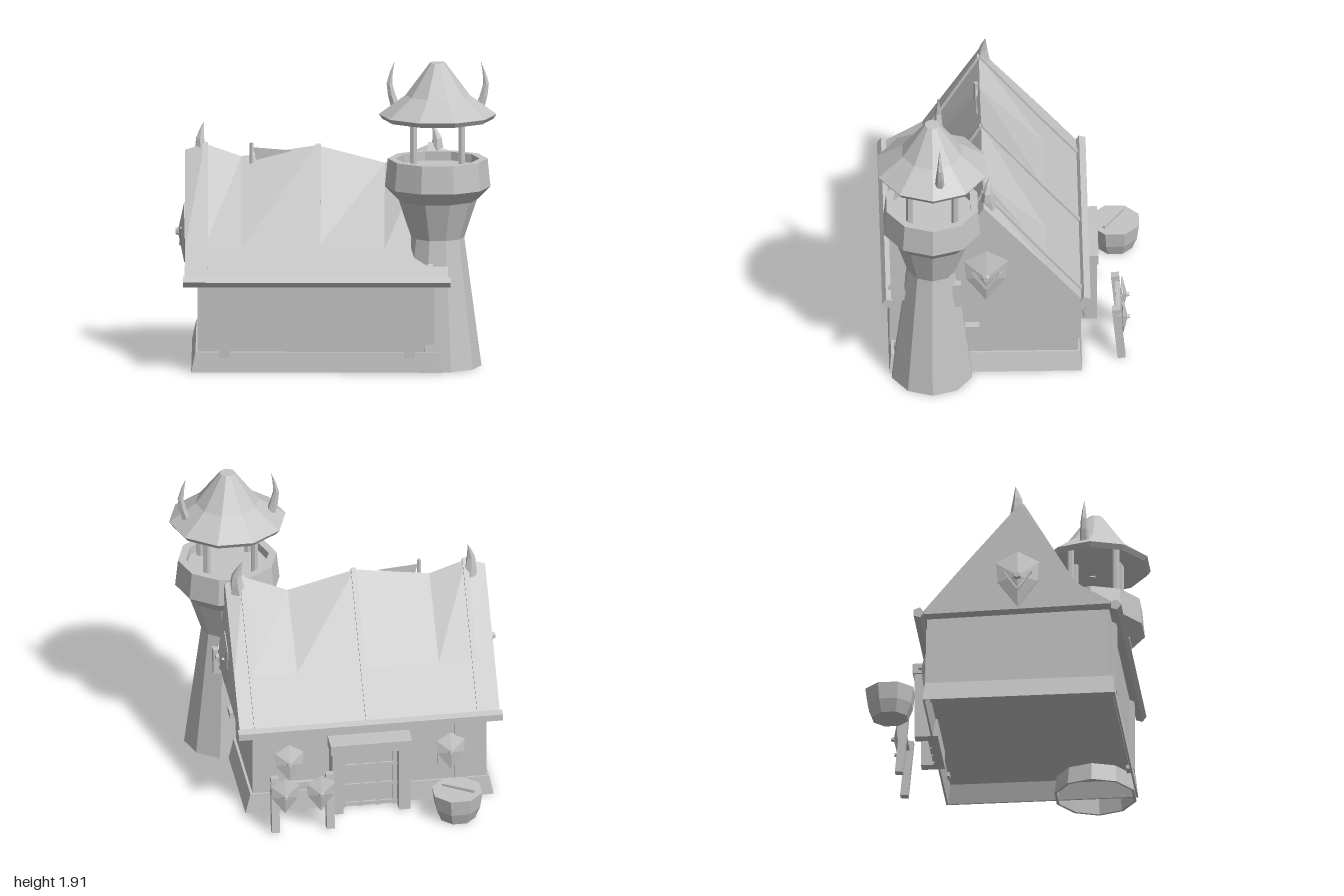
import * as THREE from 'three';

const stone = new THREE.MeshStandardMaterial({ color: 0xc4c4c4, flatShading: true });
stone.name = 'plain grey';
const V = (x, y, z) => new THREE.Vector3(x, y, z);

function part(parent, name, geometry, x = 0, y = 0, z = 0) {
  const m = new THREE.Mesh(geometry, stone);
  m.name = name;
  m.position.set(x, y, z);
  parent.add(m);
  return m;
}

// box given by its limits
function block(parent, name, x0, x1, y0, y1, z0, z1) {
  return part(parent, name, new THREE.BoxGeometry(x1 - x0, y1 - y0, z1 - z0),
    (x0 + x1) / 2, (y0 + y1) / 2, (z0 + z1) / 2);
}

// square bar between two points
function bar(parent, name, a, b, w, h = w) {
  const m = part(parent, name, new THREE.BoxGeometry(w, h, a.distanceTo(b)));
  m.position.copy(a).add(b).multiplyScalar(0.5);
  m.quaternion.setFromRotationMatrix(new THREE.Matrix4().lookAt(b, a, V(0, 1, 0)));
  return m;
}

function lathe(parent, name, profile, sides, start, x, y, z) {
  const pts = profile.map(p => new THREE.Vector2(p[0], p[1]));
  return part(parent, name, new THREE.LatheGeometry(pts, sides, start, Math.PI * 2), x, y, z);
}

function triangles(list) {
  const g = new THREE.BufferGeometry().setFromPoints(list);
  g.computeVertexNormals();
  return g;
}

// tapered curved horn through three points
function horn(parent, name, a, b, c, r) {
  const curve = new THREE.CatmullRomCurve3([a, b, c]);
  const g = new THREE.CylinderGeometry(r, r, 1, 6, 4);
  const p = g.attributes.position;
  for (let i = 0; i < p.count; i++) {
    const t = Math.min(1, Math.max(0, p.getY(i) + 0.5));
    const q = curve.getPoint(t), k = 1.02 - Math.pow(t, 1.4);
    p.setXYZ(i, q.x + p.getX(i) * k, q.y, q.z + p.getZ(i) * k);
  }
  return part(parent, name, g);
}

// kite-shaped faceted shield facing +z, with a rim and a boss
const kite = [[0, 0.182], [-0.135, 0.105], [-0.125, -0.025], [0, -0.195], [0.125, -0.025], [0.135, 0.105]];
function shield(parent, name, size, depth, boss) {
  const s = new THREE.Group();
  s.name = name;
  const rim = depth * 0.12, tris = [];
  const at = (i, z) => V(kite[i % 6][0] * size, kite[i % 6][1] * size, z);
  for (let i = 0; i < 6; i++) {
    const a = at(i, 0), b = at(i + 1, 0), c = at(i, rim), d = at(i + 1, rim);
    tris.push(a, b, c, b, d, c, c, d, V(0, 0, depth), b, a, V(0, 0, 0));
  }
  part(s, 'shieldFace', triangles(tris));
  const b = new THREE.CylinderGeometry(boss * 0.7, boss, 0.03, 6);
  b.rotateX(Math.PI / 2);
  part(s, 'shieldBoss', b, 0, 0, depth);
  parent.add(s);
  return s;
}

// ridge height along x, sagging between the ribs
const ridge = [[-0.94, 1.30], [-0.82, 1.34], [-0.59, 1.26], [-0.12, 1.33], [0.3, 1.22], [0.58, 1.34], [0.695, 1.30]];
const section = (x, y) => [V(x, 0.565, -0.452), V(x, 0.845, -0.22), V(x, y, 0.17), V(x, 0.74, 0.52), V(x, 0.59, 0.76)];

// rectangle corners, counterclockwise seen from above
const rect = (x0, x1, z0, z1, y) => [V(x0, y, z1), V(x1, y, z1), V(x1, y, z0), V(x0, y, z0)];

function house(root) {
  const g = new THREE.Group();
  g.name = 'house';
  root.add(g);

  block(g, 'walls', -0.86, 0.612, 0.115, 0.585, -0.418, 0.718);

  // flared hollow plinth: ledge, outer face, rim and inner face
  const rings = [rect(-0.85, 0.6, -0.41, 0.71, 0.125), rect(-0.873, 0.627, -0.43, 0.743, 0.125),
    rect(-0.9, 0.66, -0.443, 0.755, 0), rect(-0.888, 0.648, -0.431, 0.743, 0), rect(-0.855, 0.608, -0.412, 0.728, 0.12)];
  const f = [];
  for (let k = 0; k < 4; k++) for (let i = 0; i < 4; i++) {
    const a = rings[k + 1][i], b = rings[k + 1][(i + 1) % 4], c = rings[k][i], d = rings[k][(i + 1) % 4];
    f.push(a, b, c, b, d, c);
  }
  part(g, 'plinth', triangles(f));

  // wall posts on front and back
  for (const x of [-0.692, 0.457]) {
    block(g, 'frontPost', x - 0.034, x + 0.034, 0.09, 0.56, 0.7, 0.75);
    block(g, 'backPost', x - 0.034, x + 0.034, 0.09, 0.56, -0.437, -0.4);
  }

  // closed roof with gables
  const cols = ridge.map(r => section(r[0], r[1]));
  const t = [];
  for (let i = 0; i < cols.length - 1; i++) for (let j = 0; j < 5; j++) {
    const a = cols[i][j], b = cols[i][(j + 1) % 5], c = cols[i + 1][j], d = cols[i + 1][(j + 1) % 5];
    t.push(a, b, c, b, d, c);
  }
  const L = cols[0], R = cols[cols.length - 1];
  for (let j = 1; j < 4; j++) t.push(R[0], R[j], R[j + 1], L[0], L[j + 1], L[j]);
  part(g, 'roof', triangles(t));

  // ribs and ridge horns
  for (const [x, y] of [ridge[1], ridge[3], ridge[5]]) {
    const s = section(x + 0.006, y);
    for (let j = 0; j < 4; j++) bar(g, 'roofRib', s[j], s[j + 1], 0.034, 0.026);
  }
  horn(g, 'ridgeHorn', V(-0.838, 1.25, 0.14), V(-0.848, 1.37, 0.145), V(-0.825, 1.47, 0.13), 0.044);
  horn(g, 'ridgeHorn', V(0.615, 1.25, 0.14), V(0.625, 1.37, 0.145), V(0.59, 1.47, 0.13), 0.05);

  // eave beams
  for (const z of [-0.465, 0.765]) {
    const e = new THREE.CylinderGeometry(0.036, 0.036, 1.66, 5);
    e.rotateZ(Math.PI / 2);
    part(g, 'eaveBeam', e, -0.12, 0.575, z);
  }

  // pole with a thin pennant on the ridge
  part(g, 'ridgePole', new THREE.CylinderGeometry(0.013, 0.013, 0.13, 6), -0.528, 1.285, 0.195);
  const flag = new THREE.Shape([[-0.52, 1.32], [-0.5, 1.24], [-0.27, 1.3]].map(q => new THREE.Vector2(q[0], q[1])));
  part(g, 'pennant', new THREE.ExtrudeGeometry(flag, { depth: 0.004, bevelEnabled: false }), 0, 0, 0.19);

  // gable shields
  for (const side of [-1, 1]) {
    const s = shield(g, 'gableShield', 1, 0.045, 0.028);
    s.position.set(side < 0 ? -0.941 : 0.696, 0.785, 0.155);
    s.rotation.y = side * Math.PI / 2;
    for (const k of [-1, 1]) bar(s, 'shieldChevron', V(k * 0.085, 0.035, 0.024), V(0, -0.085, 0.028), 0.016);
  }

  // sill on the side wall next to the tower
  block(g, 'sideSill', 0.6, 0.66, 0.31, 0.35, 0.195, 0.3);
}

function porch(root) {
  const g = new THREE.Group();
  g.name = 'porch';
  root.add(g);
  for (const x of [-0.325, 0.095]) block(g, 'doorPost', x - 0.035, x + 0.035, 0, 0.44, -0.545, -0.4);
  block(g, 'lintel', -0.372, 0.14, 0.43, 0.495, -0.555, -0.4);
  block(g, 'door', -0.29, 0.06, 0, 0.43, -0.455, -0.4);
  for (const x of [-0.275, -0.17, -0.06, 0.045]) block(g, 'doorUpright', x - 0.012, x + 0.012, 0, 0.43, -0.466, -0.45);
  for (const y of [0.02, 0.15, 0.29, 0.4]) block(g, 'doorRail', -0.29, 0.06, y - 0.012, y + 0.012, -0.468, -0.45);
}

function yard(root) {
  // shields on plaques either side of the door
  for (const x of [-0.63, 0.385]) {
    block(root, 'wallPlaque', x - 0.08, x + 0.08, 0.24, 0.38, -0.44, -0.4);
    const s = shield(root, 'wallShield', 0.66, 0.034, 0.018);
    s.position.set(x, 0.34, -0.443);
    s.rotation.set(0.12, Math.PI, 0);
  }

  // rack with two shields
  const g = new THREE.Group();
  g.name = 'shieldRack';
  root.add(g);
  for (const x of [0.165, 0.51]) bar(g, 'rackLeg', V(x, 0, -0.69), V(x, 0.37, -0.655), 0.05);
  bar(g, 'rackRail', V(0.14, 0.32, -0.67), V(0.54, 0.32, -0.67), 0.03);
  for (const x of [0.225, 0.45]) {
    const s = shield(g, 'rackShield', 0.66, 0.032, 0.018);
    s.position.set(x, 0.26, -0.698);
    s.rotation.y = Math.PI;
  }

  // lidded tub with a stick across it
  lathe(root, 'tub', [[0, 0], [0.115, 0], [0.147, 0.08], [0.162, 0.185], [0, 0.185]], 8, Math.PI / 8, -0.635, 0, -0.67);
  bar(root, 'stick', V(-0.735, 0.195, -0.72), V(-0.555, 0.19, -0.6), 0.018);
}

function tower(root) {
  const g = new THREE.Group();
  g.name = 'tower';
  g.position.set(0.63, 0, 0.49);
  g.scale.z = 0.96;
  root.add(g);
  const q = Math.PI / 2;
  lathe(g, 'shaft', [[0, 0.1], [0.245, 0.1], [0.255, 0], [0.272, 0], [0.165, 0.81], [0.248, 1.06], [0, 1.06]], 10, q, 0, 0, 0);
  lathe(g, 'parapet', [[0, 1.05], [0.25, 1.05], [0.328, 1.13], [0.31, 1.305], [0.26, 1.305], [0.26, 1.25], [0, 1.25]], 10, q, 0, 0, 0);
  for (const x of [-0.15, 0.15]) for (const z of [-0.147, 0.147])
    part(g, 'roofPost', new THREE.CylinderGeometry(0.023, 0.023, 0.43, 6), x, 1.45, z);

  // hollow roof
  lathe(g, 'towerRoof', [[0, 1.84], [0.18, 1.685], [0.345, 1.555], [0.366, 1.585], [0.2, 1.705], [0.048, 1.91], [0, 1.91]], 10, q, 0, 0, 0);
  for (const k of [-1, 1])
    horn(g, 'towerHorn', V(k * 0.262, 1.62, -0.045), V(k * 0.3, 1.77, -0.045), V(k * 0.268, 1.91, -0.045), 0.031);

  // small slab on the shaft
  block(g, 'windowSlab', 0.04, 0.115, 0.57, 0.74, -0.185, -0.13);
}

export function createModel() {
  const root = new THREE.Group();
  root.name = 'watchHouse';
  house(root);
  porch(root);
  yard(root);
  tower(root);
  return root;
}
